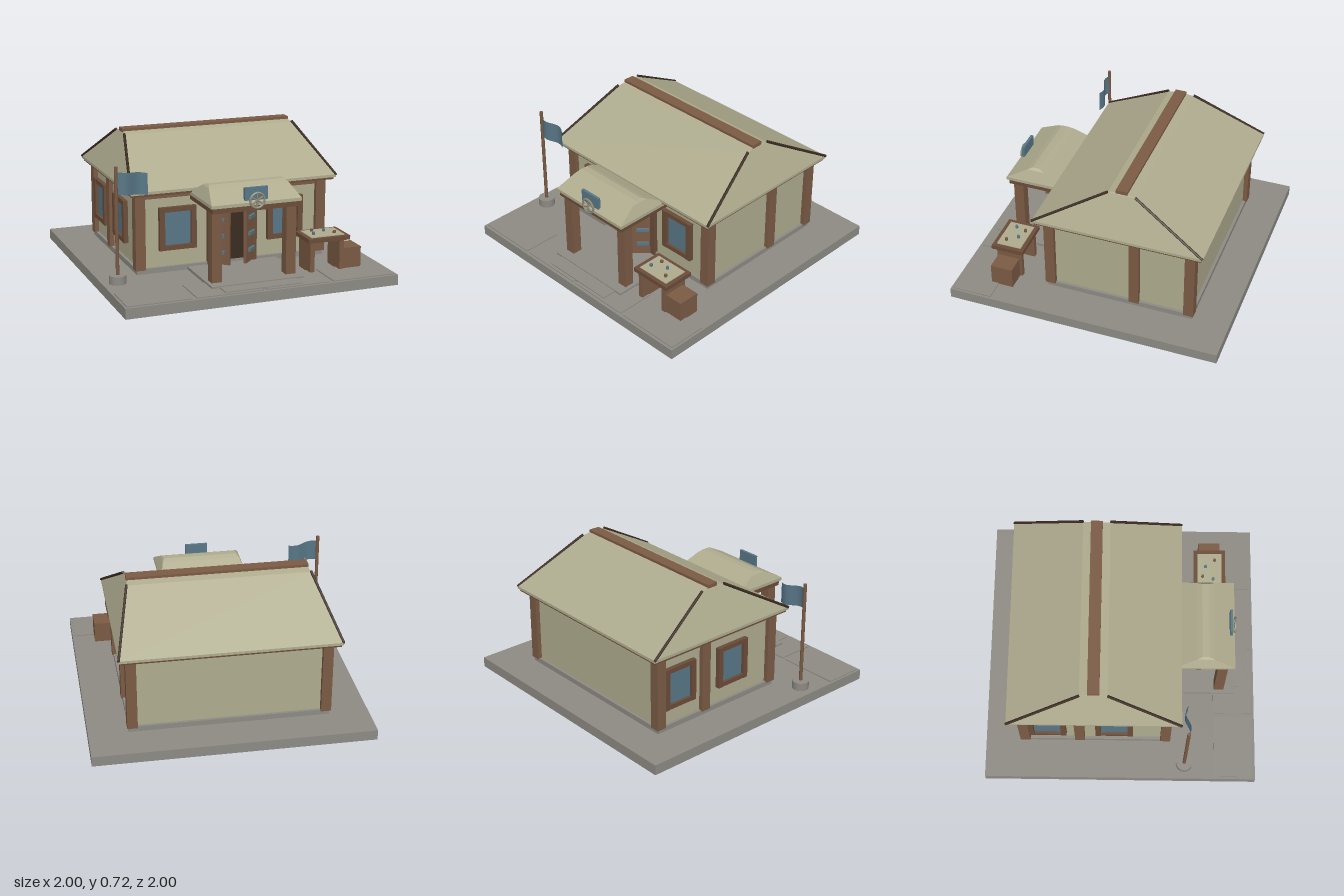
import * as THREE from 'three';

const mat = (name, color, side = THREE.FrontSide) => {
  const m = new THREE.MeshStandardMaterial({ color, side });
  m.name = name;
  return m;
};

export function createModel() {
  const cream = mat('cream plaster', 0xaeab8e);
  const brown = mat('brown timber', 0x7a5a44);
  const dark = mat('dark timber', 0x3b2b20);
  const frameBrown = mat('frame timber', 0x6a4c38);
  const grey = mat('grey stone', 0x8d8a83);
  const blue = mat('slate blue', 0x587686, THREE.DoubleSide);
  const metal = mat('dull metal', 0x8f8c78);

  const model = new THREE.Group();
  const site = new THREE.Group(); // everything is laid out square, then turned
  site.name = 'site';
  site.rotation.y = Math.PI / 4;
  model.add(site);

  const add = (name, geo, material, parent = site) => {
    const m = new THREE.Mesh(geo, material);
    m.name = name;
    parent.add(m);
    return m;
  };
  // box given by its limits on each axis
  const box = (name, material, [x0, x1], [y0, y1], [z0, z1], parent = site) => {
    const m = add(name, new THREE.BoxGeometry(x1 - x0, y1 - y0, z1 - z0), material, parent);
    m.position.set((x0 + x1) / 2, (y0 + y1) / 2, (z0 + z1) / 2);
    return m;
  };
  // round bar between two points
  const bar = (name, material, a, b, r, parent = site) => {
    const d = b.clone().sub(a);
    const m = add(name, new THREE.CylinderGeometry(r, r, d.length(), 6), material, parent);
    m.position.copy(a).addScaledVector(d, 0.5);
    m.quaternion.setFromUnitVectors(new THREE.Vector3(0, 1, 0), d.normalize());
    return m;
  };
  // closed stack of rectangles, each [halfX, halfZ, y]
  const hipRoof = (levels) => {
    const rings = levels.map(([x, z, y]) => [[-x, y, z], [x, y, z], [x, y, -z], [-x, y, -z]]);
    const p = [];
    const quad = (a, b, c, d) => p.push(...a, ...b, ...c, ...a, ...c, ...d);
    for (let i = 0; i < rings.length - 1; i++) {
      for (let k = 0; k < 4; k++) {
        const n = (k + 1) % 4;
        quad(rings[i][k], rings[i][n], rings[i + 1][n], rings[i + 1][k]);
      }
    }
    const f = rings[0], t = rings[rings.length - 1];
    quad(f[3], f[2], f[1], f[0]);
    quad(t[0], t[1], t[2], t[3]);
    const g = new THREE.BufferGeometry();
    g.setAttribute('position', new THREE.Float32BufferAttribute(p, 3));
    g.computeVertexNormals();
    return g;
  };

  // ground slab and paving
  box('groundSlab', grey, [-0.707, 0.707], [0, 0.053], [-0.707, 0.707]);
  for (const [a, b] of [[-0.695, -0.37], [-0.35, -0.01], [0.01, 0.34], [0.36, 0.695]]) {
    box('pavingSlab', grey, [a, b], [0.05, 0.058], [0.49, 0.692]);
  }
  box('porchFloor', grey, [-0.24, 0.24], [0.05, 0.068], [0.24, 0.6]);
  box('porchStep', grey, [-0.2, 0.2], [0.05, 0.063], [0.58, 0.675]);

  // main house, centred on its own origin
  const house = new THREE.Group();
  house.name = 'house';
  house.position.z = -0.132;
  site.add(house);
  box('foundation', grey, [-0.505, 0.505], [0.05, 0.08], [-0.385, 0.385], house);
  box('walls', cream, [-0.49, 0.49], [0.08, 0.46], [-0.37, 0.37], house);
  box('wallBeam', brown, [-0.505, 0.505], [0.435, 0.466], [-0.385, 0.385], house);
  for (const sx of [-1, 1]) {
    for (const z of [-0.367, -0.08, 0.367]) {
      const x = sx * 0.487;
      box('wallPost', brown, [x - 0.026, x + 0.026], [0.075, 0.46], [z - 0.026, z + 0.026], house);
    }
  }

  // main roof with ridge beam and hip trims
  box('eaveBoard', frameBrown, [-0.54, 0.54], [0.462, 0.474], [-0.432, 0.432], house);
  add('mainRoof', hipRoof([[0.548, 0.44, 0.474], [0.548, 0.44, 0.488], [0.462, 0.07, 0.698],
    [0.455, 0.015, 0.71]]), cream, house);
  box('ridgeBeam', brown, [-0.46, 0.46], [0.69, 0.72], [-0.03, 0.03], house);
  for (const sx of [-1, 1]) {
    for (const sz of [-1, 1]) {
      bar('hipTrim', dark, new THREE.Vector3(sx * 0.548, 0.487, sz * 0.44),
        new THREE.Vector3(sx * 0.463, 0.702, sz * 0.07), 0.007, house);
    }
  }

  // windows: frame, pane
  const addWindow = (x, z, turn) => {
    const w = new THREE.Group();
    w.name = 'window';
    w.position.set(x, 0.275, z);
    w.rotation.y = turn;
    house.add(w);
    box('windowPane', blue, [-0.075, 0.075], [-0.09, 0.09], [0, 0.008], w);
    for (const s of [-1, 1]) {
      const fx = s * 0.083, fy = s * 0.098;
      box('frameSide', frameBrown, [fx - 0.014, fx + 0.014], [-0.11, 0.11], [0, 0.024], w);
      box('frameRail', frameBrown, [-0.085, 0.085], [fy - 0.012, fy + 0.012], [0, 0.022], w);
    }
  };
  addWindow(-0.29, 0.37, 0);
  addWindow(0.29, 0.37, 0);
  addWindow(-0.49, -0.245, -Math.PI / 2);
  addWindow(-0.49, 0.1, -Math.PI / 2);

  // doorway with two half-open leaves
  box('doorway', dark, [-0.105, 0.105], [0.068, 0.4], [0.23, 0.246]);
  box('doorLintel', frameBrown, [-0.13, 0.13], [0.39, 0.42], [0.23, 0.262]);
  for (const s of [-1, 1]) {
    box('doorJamb', frameBrown, [s * 0.118 - 0.014, s * 0.118 + 0.014], [0.068, 0.4], [0.23, 0.262]);
    const leaf = new THREE.Group();
    leaf.name = 'doorLeaf';
    leaf.position.set(s * 0.105, 0, 0.262);
    leaf.rotation.y = s * Math.PI / 4;
    site.add(leaf);
    const side = (a, b) => (s < 0 ? [a, b] : [-b, -a]);
    box('doorPanel', brown, side(0, 0.092), [0.075, 0.395], [-0.008, 0.008], leaf);
    for (const y of [0.14, 0.225, 0.31]) {
      box('doorStrap', blue, side(0.005, 0.068), [y - 0.009, y + 0.009], [0.006, 0.02], leaf);
    }
  }

  // porch
  for (const s of [-1, 1]) {
    box('porchPost', brown, [s * 0.195 - 0.026, s * 0.195 + 0.026], [0.06, 0.43], [0.494, 0.546]);
  }
  box('porchBeam', frameBrown, [-0.225, 0.225], [0.418, 0.446], [0.25, 0.568]);
  const porchRoof = add('porchRoof', hipRoof([[0.234, 0.152, 0.446], [0.234, 0.152, 0.462],
    [0.208, 0.045, 0.52], [0.198, 0.018, 0.532]]), cream);
  porchRoof.position.z = 0.427;

  // sign plate with a wheel ornament
  box('signPlate', blue, [-0.06, 0.06], [0.45, 0.533], [0.552, 0.566]);
  const wheel = new THREE.Group();
  wheel.name = 'wheelOrnament';
  wheel.position.set(0, 0.47, 0.58);
  site.add(wheel);
  add('wheelRing', new THREE.TorusGeometry(0.037, 0.006, 6, 20), metal, wheel);
  for (let i = 0; i < 3; i++) {
    const a = Math.PI / 2 + i * Math.PI / 3;
    const tip = new THREE.Vector3(Math.cos(a), Math.sin(a), 0).multiplyScalar(0.042);
    bar('wheelSpoke', metal, tip.clone().negate(), tip, 0.004, wheel);
  }

  // flagpole with a waving flag
  const flagpole = new THREE.Group();
  flagpole.name = 'flagpole';
  flagpole.position.set(-0.63, 0, 0.335);
  site.add(flagpole);
  add('poleBase', new THREE.CylinderGeometry(0.043, 0.043, 0.045, 16), grey, flagpole).position.y = 0.073;
  add('pole', new THREE.CylinderGeometry(0.009, 0.009, 0.55, 8), brown, flagpole).position.y = 0.36;
  const cloth = new THREE.PlaneGeometry(0.155, 0.11, 10, 1);
  const pos = cloth.attributes.position;
  for (let i = 0; i < pos.count; i++) {
    const t = pos.getX(i) / 0.155 + 0.5;
    pos.setZ(i, 0.014 * Math.sin(t * Math.PI * 2));
    pos.setY(i, pos.getY(i) - 0.018 * t);
  }
  cloth.computeVertexNormals();
  add('flag', cloth, blue, flagpole).position.set(0.082, 0.553, 0);

  // table with board and pieces, crate beside it
  box('tableTop', frameBrown, [0.29, 0.515], [0.213, 0.234], [0.382, 0.552]);
  box('tableBoard', cream, [0.312, 0.493], [0.232, 0.238], [0.402, 0.532]);
  for (const x of [0.318, 0.478]) {
    box('tableLeg', brown, [x - 0.012, x + 0.012], [0.053, 0.215], [0.4, 0.535]);
  }
  [[0.417, 0.446, blue], [0.454, 0.495, brown], [0.345, 0.486, blue], [0.36, 0.43, brown]]
    .forEach(([x, z, m]) => {
      add('boardPiece', new THREE.CylinderGeometry(0.008, 0.008, 0.014, 8), m).position.set(x, 0.244, z);
    });
  box('crate', brown, [0.482, 0.588], [0.053, 0.163], [0.413, 0.528]);

  return model;
}
